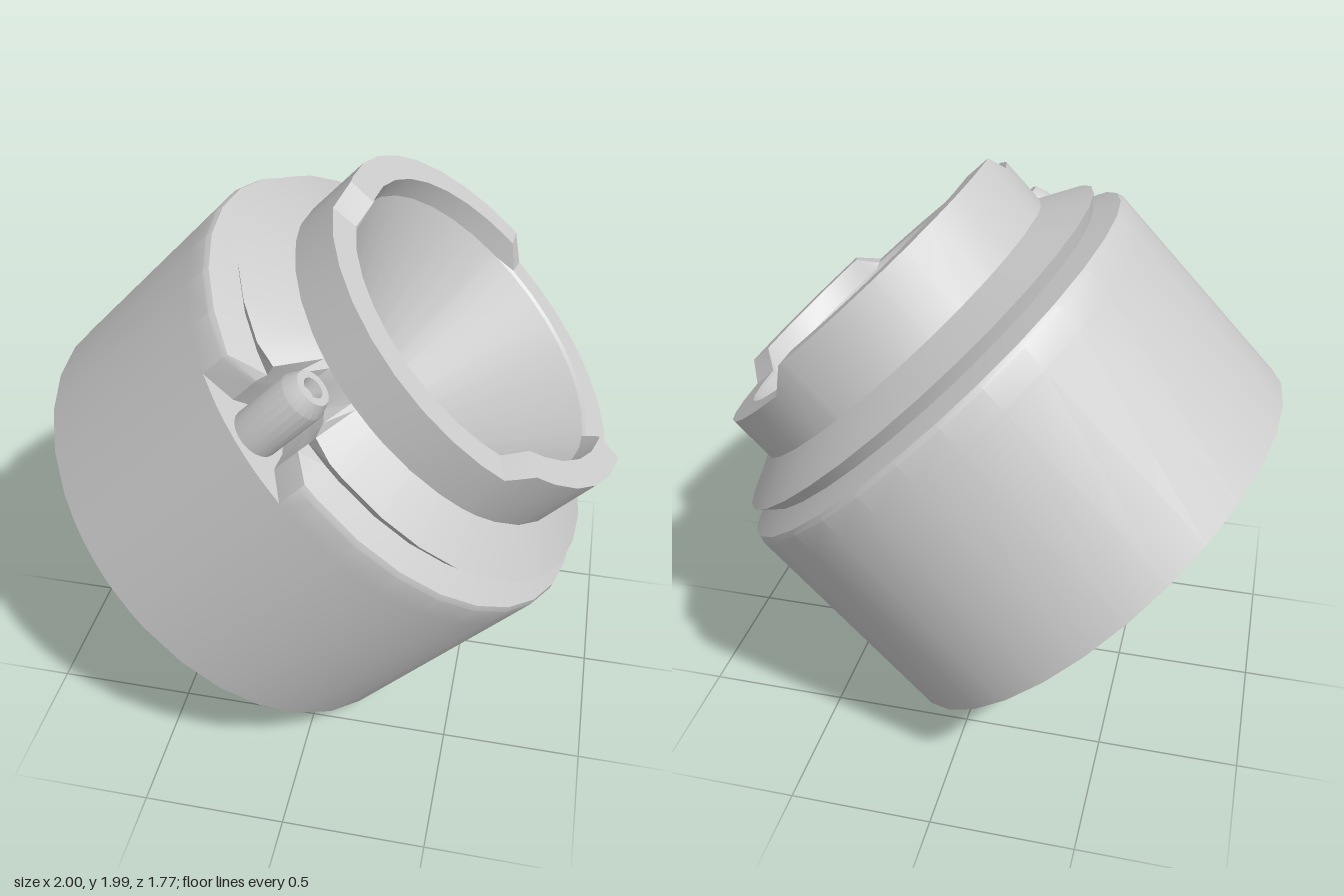
import * as THREE from 'three';
import { toCreasedNormals } from 'three/addons/utils/BufferGeometryUtils.js';

const material = new THREE.MeshStandardMaterial({ color: 0xcccccc, side: THREE.DoubleSide });
const SIDES = 32;

// Piecewise linear lookup in [[x, y], ...]
function lerpTable(table, x) {
  for (let i = 1; i < table.length; i++) {
    const [x0, y0] = table[i - 1], [x1, y1] = table[i];
    if (x <= x1) return y0 + (y1 - y0) * Math.max(0, (x - x0) / (x1 - x0));
  }
  return table[table.length - 1][1];
}

// Evenly spaced angles in degrees plus extra ones where detail is needed
function angleList(extra) {
  const list = Array.from({ length: SIDES }, (_, i) => (i * 360) / SIDES)
    .filter((a) => extra.every((e) => Math.abs(e - a) > 1.5));
  return [...list, ...extra].sort((a, b) => a - b);
}

// Surface of revolution whose [radius, height] profile may change with the angle
function turned(name, angles, profileAt) {
  const positions = [], index = [];
  let rows = 0;
  for (const deg of angles) {
    const t = THREE.MathUtils.degToRad(deg);
    const profile = profileAt(deg);
    rows = profile.length;
    for (const [r, y] of profile) positions.push(r * Math.cos(t), y, r * Math.sin(t));
  }
  const n = angles.length;
  for (let i = 0; i < n; i++) {
    for (let j = 0; j < rows - 1; j++) {
      const a = i * rows + j, b = ((i + 1) % n) * rows + j;
      index.push(a, a + 1, b, b, a + 1, b + 1);
    }
  }
  const geometry = new THREE.BufferGeometry();
  geometry.setAttribute('position', new THREE.Float32BufferAttribute(positions, 3));
  geometry.setIndex(index);
  const mesh = new THREE.Mesh(toCreasedNormals(geometry, 0.4), material);
  mesh.name = name;
  return mesh;
}

// Barrel with bevelled base, groove and sloped shoulder, cut by the pin pocket
function makeBody() {
  const center = 120.5, floor = 0.76;
  const pocket = [[0, 0.66], [4, 0.675], [7, 0.72], [9, 0.8], [15, 0.885]];
  const extra = pocket.flatMap(([d]) => (d ? [center - d, center + d] : [center]));
  const upper = [[0.885, floor], [0.885, 0.85], [0.877, 0.87], [0.78, 0.903],
    [0.825, 0.95], [0.66, 1.033]];
  return turned('body', angleList(extra), (deg) => {
    const limit = lerpTable(pocket, Math.abs(deg - center));
    return [[0, -0.1], [0.663, -0.1], [0.885, 0], [0.885, floor],
      ...upper.map(([r, y]) => [Math.min(r, limit), y])];
  });
}

// Collar with two raised rim sections joined by ramps
const rimHeight = [[2, 1.21], [9, 1.28], [64, 1.28], [70, 1.21], [170, 1.21],
  [177, 1.28], [272.5, 1.28], [281, 1.21]];
const rimAngles = angleList(rimHeight.map(([a]) => a));

function makeCollar() {
  return turned('collar', rimAngles, (deg) => {
    const h = lerpTable(rimHeight, deg);
    return [[0.66, 1.0], [0.66, h], [0.56, h], [0.55, 1.2]];
  });
}

// Conical hollow
function makeBore() {
  return turned('bore', rimAngles, () => [[0.55, 1.2], [0, 0.25]]);
}

// Round pin with bevelled tip and a small recess
function makePin() {
  const points = [[0, 0.75], [0.083, 0.75], [0.083, 0.98], [0.062, 1.025], [0.036, 1.025],
    [0.03, 0.99], [0, 0.99]].map(([r, y]) => new THREE.Vector2(r, y));
  const geometry = toCreasedNormals(new THREE.LatheGeometry(points, 20), 0.5);
  const pin = new THREE.Mesh(geometry, material);
  pin.name = 'pin';
  pin.position.set(-0.396, 0, 0.67);
  return pin;
}

export function createModel() {
  const tilted = new THREE.Group();
  tilted.name = 'tiltedMount';
  tilted.add(makeBody(), makeCollar(), makeBore(), makePin());
  tilted.rotation.z = THREE.MathUtils.degToRad(-43.4);
  tilted.position.set(-0.36, 0.61, 0);

  const model = new THREE.Group();
  model.name = 'lensMount';
  model.add(tilted);
  return model;
}
